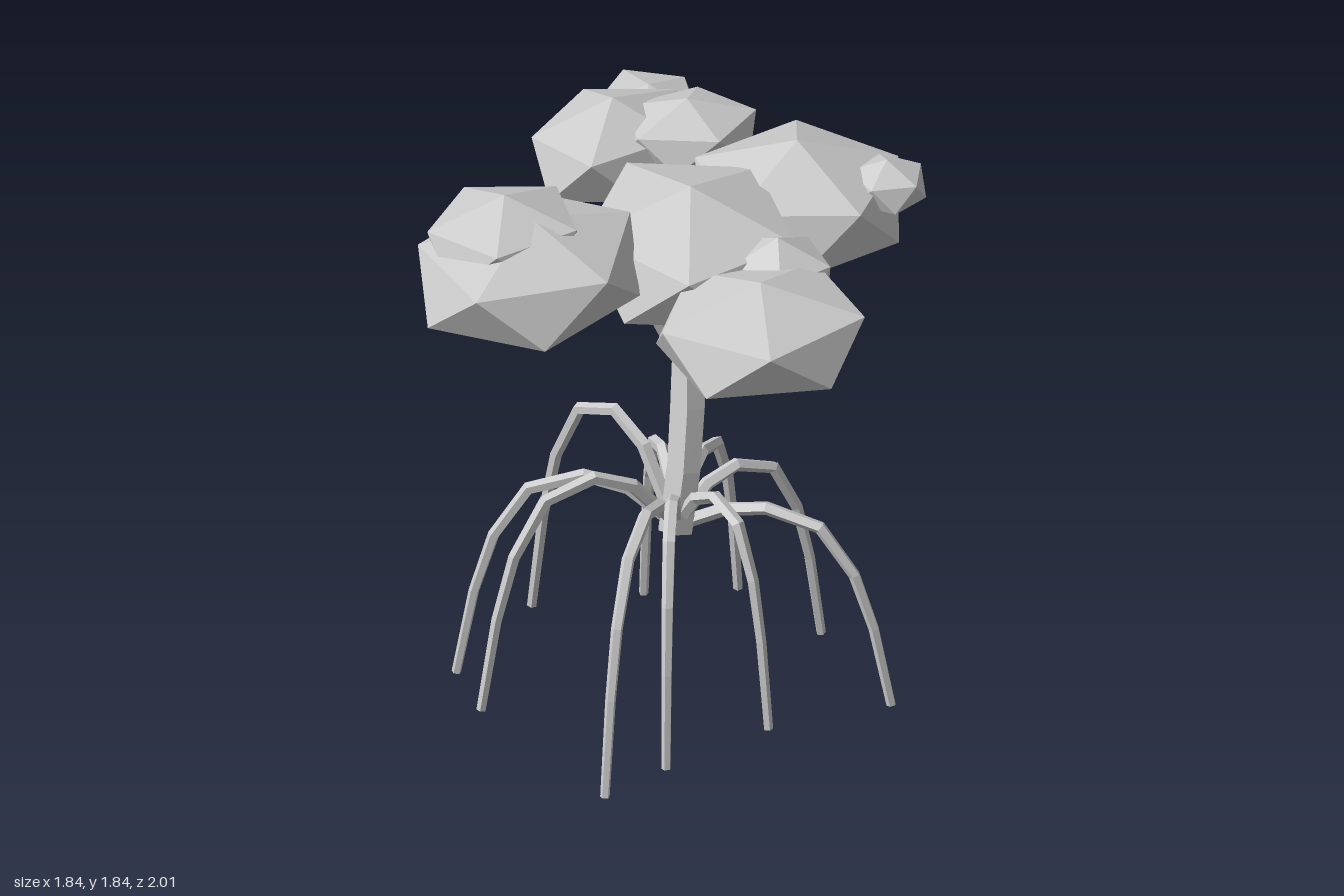
import * as THREE from 'three';
import { ConvexGeometry } from 'three/addons/geometries/ConvexGeometry.js';

const V3 = (x, y, z) => new THREE.Vector3(x, y, z);

// Faceted limb: polygon rings lofted along a list of points, capped at both ends
function limb(points, radii, ref, sides = 5) {
  const pos = [], index = [], n = points.length;
  points.forEach((p, i) => {
    const t = points[Math.min(i + 1, n - 1)].clone().sub(points[Math.max(i - 1, 0)]).normalize();
    const a = ref.clone().addScaledVector(t, -t.dot(ref)).normalize();
    const b = t.clone().cross(a);
    for (let k = 0; k < sides; k++) {
      const ang = (k / sides) * Math.PI * 2;
      const q = p.clone().addScaledVector(a, Math.cos(ang) * radii[i]).addScaledVector(b, Math.sin(ang) * radii[i]);
      pos.push(q.x, q.y, q.z);
    }
  });
  for (let i = 0; i < n - 1; i++) {
    for (let k = 0; k < sides; k++) {
      const a = i * sides + k, b = i * sides + (k + 1) % sides;
      index.push(a, b, b + sides, a, b + sides, a + sides);
    }
  }
  const last = (n - 1) * sides;
  for (let k = 1; k < sides - 1; k++) {
    index.push(0, k + 1, k, last, last + k, last + k + 1);
  }
  const g = new THREE.BufferGeometry();
  g.setAttribute('position', new THREE.Float32BufferAttribute(pos, 3));
  g.setIndex(index);
  const flat = g.toNonIndexed();
  flat.computeVertexNormals();
  return flat;
}

// Stretched icosahedron: u and v are the conjugate half-axes of its rings in plan
function clump([cx, cy, cz], h, [ux, uz], [vx, vz]) {
  const pts = [V3(cx, cy + h, cz), V3(cx, cy - h, cz)];
  for (let k = 0; k < 5; k++) {
    const c = Math.cos(k * Math.PI * 0.4), s = Math.sin(k * Math.PI * 0.4);
    const x = ux * c + vx * s, z = uz * c + vz * s;
    pts.push(V3(cx + x, cy + 0.447 * h, cz + z), V3(cx - x, cy - 0.447 * h, cz - z));
  }
  return new ConvexGeometry(pts);
}

export function createModel() {
  const group = new THREE.Group();
  const grey = new THREE.MeshStandardMaterial({ color: 0xcccccc, flatShading: true });
  grey.name = 'pale grey';
  const add = (name, geometry) => {
    const mesh = new THREE.Mesh(geometry, grey);
    mesh.name = name;
    group.add(mesh);
  };

  // Leaning trunk
  add('trunk', limb(
    [V3(-0.04, 0.55, 0.255), V3(0.005, 0.75, 0.23), V3(0.045, 0.95, 0.185), V3(0.07, 1.15, 0.14), V3(0.08, 1.33, 0.08)],
    [0.062, 0.062, 0.064, 0.055, 0.045], V3(1, 0, 0), 6));

  // Branches reaching up into the crown
  const branches = [
    [[0.08, 1.0, 0.1], [0.07, 1.19, 0.25], [0.065, 1.31, 0.38], [0.05, 1.38, 0.57], [0.04, 1.42, 0.66]],
    [[0.1, 1.0, 0.1], [0.13, 1.2, -0.07], [0.15, 1.31, -0.26], [0.17, 1.36, -0.42], [0.19, 1.4, -0.52]],
    [[0.09, 1.04, 0.12], [0.17, 1.22, 0.09], [0.3, 1.33, 0.05], [0.42, 1.37, 0.02], [0.5, 1.42, 0]],
    [[0.05, 1.12, 0.12], [-0.04, 1.3, 0.12], [-0.18, 1.42, 0.12], [-0.36, 1.54, 0.12]],
  ];
  branches.forEach((b) => add('branch', limb(
    b.map((p) => V3(...p)), b.map((p, i) => 0.033 - i * 0.003), V3(1, 0.2, 0.7))));

  // Arching stilt roots: foot x, foot z, height of the arch
  const roots = [
    [-0.62, 0.82, 0.79], [-0.36, 0.76, 0.78], [0.05, 0.7, 0.75], [0.47, 0.76, 0.67], [0.5, 0.25, 0.72],
    [0.41, -0.13, 0.7], [0.13, -0.25, 0.72], [-0.22, -0.36, 0.88], [-0.64, -0.11, 0.74], [-0.69, 0.14, 0.79],
  ];
  const start = V3(-0.03, 0.56, 0.24);
  const along = [0, 0.22, 0.42, 0.67, 0.83, 0.92, 1];
  roots.forEach(([x, z, top]) => {
    const heights = [0.56, 0.56 + (top - 0.56) * 0.75, top, top * 0.935, top * 0.7, top * 0.42, 0.01];
    const dx = x - start.x, dz = z - start.z;
    const pts = along.map((t, i) => V3(start.x + dx * t, heights[i], start.z + dz * t));
    add('stiltRoot', limb(pts, [0.025, 0.024, 0.023, 0.022, 0.02, 0.018, 0.016], V3(-dz, 0, dx)));
  });

  // Leaf clumps: centre, half height, ring axes
  const clumps = [
    ['middleLeaves', [0.09, 1.5, 0.125], 0.22, [0, -0.415], [0.365, -0.055]],
    ['leftLeaves', [0.565, 1.46, -0.02], 0.223, [0.165, -0.297], [0.3, 0.165]],
    ['frontLeaves', [0.03, 1.487, 0.685], 0.177, [-0.35, -0.02], [0.03, -0.33]],
    ['rightLeaves', [-0.52, 1.598, 0.15], 0.198, [0.39, -0.03], [-0.018, 0.355]],
    ['topRightLeaves', [-0.56, 1.682, 0.06], 0.16, [-0.012, -0.24], [0.265, -0.026]],
    ['backLeaves', [0.21, 1.473, -0.595], 0.178, [0.03, -0.24], [0.29, -0.02]],
    ['smallBackLeaves', [0.415, 1.53, -0.47], 0.122, [0.215, 0.07], [-0.06, 0.18]],
    ['farBackLeaves', [0.46, 1.43, -0.8], 0.095, [0.02, -0.2], [0.17, 0]],
    ['smallLeftLeaves', [0.8, 1.538, 0.15], 0.09, [0.125, 0], [0, 0.13]],
    ['smallFrontLeaves', [0.225, 1.51, 0.455], 0.148, [0.155, -0.08], [0.08, 0.155]],
  ];
  clumps.forEach(([name, c, h, u, v]) => add(name, clump(c, h, u, v)));

  return group;
}
